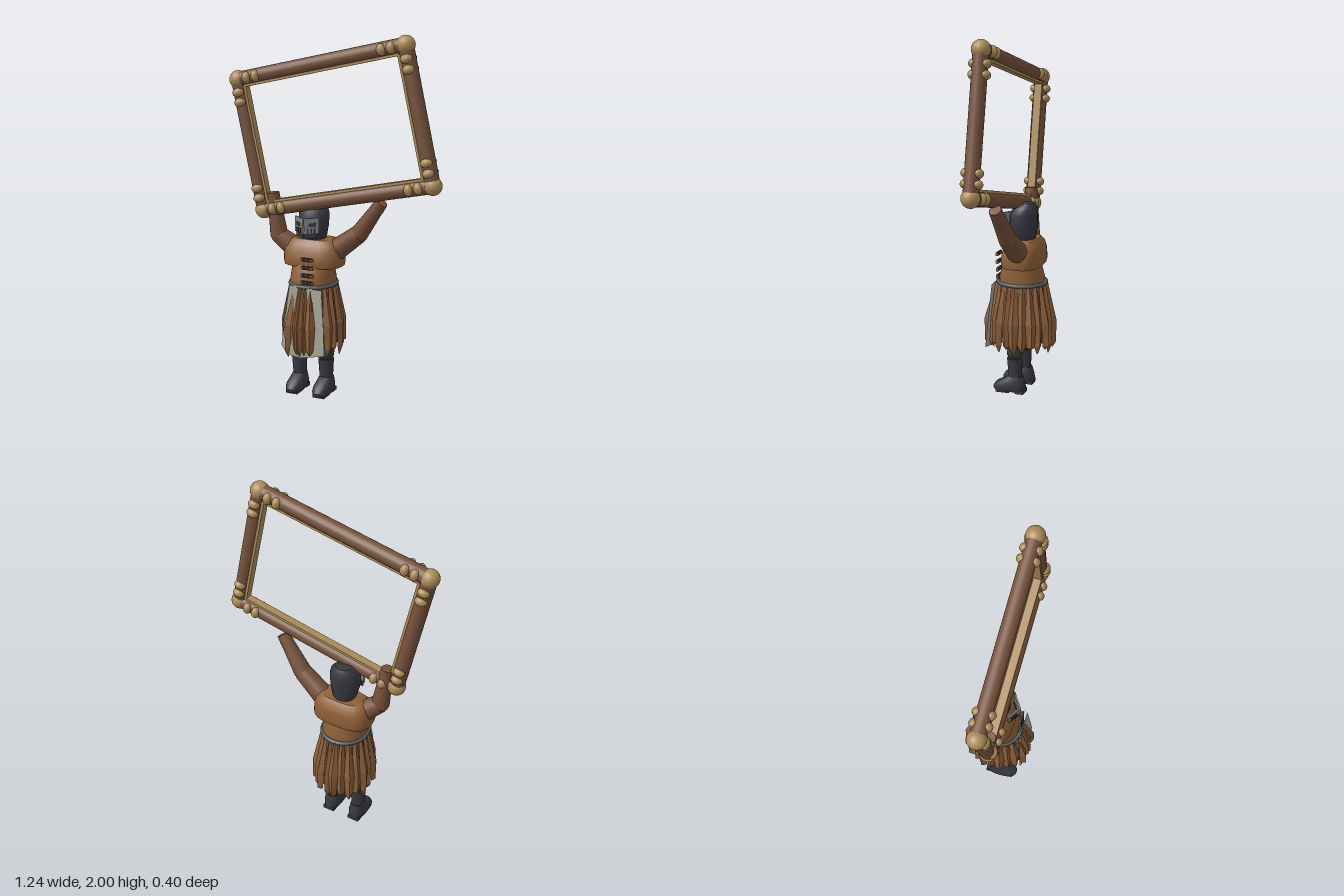
import * as THREE from 'three';
import { toCreasedNormals } from 'three/addons/utils/BufferGeometryUtils.js';

const mat = (name, color, side = THREE.FrontSide) => {
  const m = new THREE.MeshStandardMaterial({ color, side });
  m.name = name;
  return m;
};
const V = (x, y, z) => new THREE.Vector3(x, y, z);

function add(parent, name, geometry, material, x = 0, y = 0, z = 0) {
  const mesh = new THREE.Mesh(geometry, material);
  mesh.name = name;
  mesh.position.set(x, y, z);
  parent.add(mesh);
  return mesh;
}

// Tapered round limb or bar from point a to point b
function rod(parent, name, a, b, ra, rb, material, sides = 16) {
  const d = b.clone().sub(a);
  const mesh = add(parent, name, new THREE.CylinderGeometry(rb, ra, d.length(), sides), material);
  mesh.position.copy(a).addScaledVector(d, 0.5);
  mesh.quaternion.setFromUnitVectors(V(0, 1, 0), d.normalize());
  return mesh;
}

// Closed body from rounded rings: [y, centre z, half width, half depth]
function loft(rings, power = 1, n = 20) {
  const pos = [], idx = [];
  const bend = v => Math.sign(v) * Math.abs(v) ** power;
  for (const [y, cz, hx, hz] of rings)
    for (let j = 0; j < n; j++) {
      const a = j / n * Math.PI * 2;
      pos.push(hx * bend(Math.sin(a)), y, cz + hz * bend(Math.cos(a)));
    }
  const top = (rings.length - 1) * n, c = rings.length * n, last = rings[rings.length - 1];
  pos.push(0, rings[0][0], rings[0][1], 0, last[0], last[1]);
  for (let j = 0; j < n; j++) {
    const k = (j + 1) % n;
    for (let i = 0; i < top; i += n) idx.push(i + j, i + k, i + n + k, i + j, i + n + k, i + n + j);
    idx.push(c, k, j, c + 1, top + j, top + k);
  }
  const g = new THREE.BufferGeometry();
  g.setAttribute('position', new THREE.Float32BufferAttribute(pos, 3));
  g.setIndex(idx);
  return toCreasedNormals(g, 0.7);
}

// Folded skirt strip with a raised centre ridge and a pointed hem
function leaf(angle, width, grow, tip) {
  const rows = [[0.64, 0.122, 0.55, 0.01], [0.42, 0.15, 1, 0.02], [0.29, 0.15, 0.75, 0.02], [tip, 0.147, 0.15, 0.004]];
  const pos = [], idx = [];
  rows.forEach(([y, r, w, ridge], i) => {
    for (const s of [-1, 0, 1]) {
      const a = angle + s * w * width, rad = r + (i ? grow : 0) + (s ? 0 : ridge);
      pos.push(Math.sin(a) * rad, y, Math.cos(a) * rad * 1.1);
    }
    if (i < 3) for (const j of [0, 1]) {
      const p = i * 3 + j;
      idx.push(p, p + 3, p + 1, p + 1, p + 3, p + 4);
    }
  });
  const g = new THREE.BufferGeometry();
  g.setAttribute('position', new THREE.Float32BufferAttribute(pos, 3));
  g.setIndex(idx);
  return toCreasedNormals(g, 0.1);
}

export function createModel() {
  const wood = mat('brown wood', 0x76523c);
  const cord = mat('tan cord', 0xad8c5a);
  const leather = mat('tan leather', 0x8f6038);
  const strip = mat('skirt leather', 0x8c5f3b, THREE.DoubleSide);
  const sleeve = mat('sleeve brown', 0x76503a);
  const dark = mat('dark cloth', 0x383840);
  const steel = mat('mask grey', 0x7d8688);
  const cloth = mat('pale cloth', 0xa3a395, THREE.DoubleSide);
  const beltGrey = mat('belt grey', 0x555d62);
  const gold = mat('gold', 0xa8813a);

  const model = new THREE.Group();
  model.name = 'frameBearer';

  // Tilted rectangular frame
  const frame = new THREE.Group();
  frame.name = 'frame';
  model.add(frame);
  const corners = [[-0.57, 1.74], [0.41, 1.95], [0.57, 1.235], [-0.42, 1.025]].map(p => V(p[0], p[1], 0.033));
  const centre = V(0, 1.4875, 0.033);
  corners.forEach((a, i) => {
    const b = corners[(i + 1) % 4];
    const dir = b.clone().sub(a), length = dir.length(), mid = a.clone().add(b).multiplyScalar(0.5);
    dir.normalize();
    const angle = Math.atan2(dir.y, dir.x);
    rod(frame, 'frameBar', a, b, 0.041, 0.041, wood, 20);
    add(frame, 'cornerKnob', new THREE.SphereGeometry(0.05, 20, 14), cord, a.x, a.y, a.z);

    // Pale lining on the inner side of the bar
    const inward = V(-dir.y, dir.x, 0);
    if (inward.dot(centre.clone().sub(mid)) < 0) inward.negate();
    mid.addScaledVector(inward, 0.041);
    add(frame, 'innerLining', new THREE.BoxGeometry(length - 0.08, 0.014, 0.045), cord, mid.x, mid.y, mid.z).rotation.z = angle;

    // Cord lashings at both ends, front and back
    for (const d of [0.07, 0.125, length - 0.125, length - 0.07])
      for (const s of [-1, 1]) {
        const p = a.clone().addScaledVector(dir, d);
        const bead = add(frame, 'lashing', new THREE.SphereGeometry(1, 14, 10), cord, p.x, p.y, p.z + s * 0.033);
        bead.scale.set(0.025, 0.033, 0.027);
        bead.rotation.z = angle;
      }
  });

  const figure = new THREE.Group();
  figure.name = 'figure';
  figure.position.x = -0.132;
  model.add(figure);

  // Legs and boots
  for (const s of [-1, 1]) {
    const x = s * 0.083;
    rod(figure, 'thigh', V(x, 0.24, 0.01), V(x, 0.45, 0), 0.045, 0.055, dark);
    rod(figure, 'shin', V(x, 0.08, 0.012), V(x, 0.205, 0.015), 0.037, 0.044, dark);
    add(figure, 'knee', new THREE.SphereGeometry(0.045, 16, 10), dark, x, 0.235, 0.015);
    add(figure, 'boot', loft([[0.012, 0.045, 0.045, 0.092], [0.03, 0.046, 0.05, 0.095],
      [0.055, 0.04, 0.049, 0.085], [0.08, 0.02, 0.042, 0.058], [0.1, 0.01, 0.036, 0.042]], 0.8), dark, x);
    add(figure, 'bootHeel', new THREE.BoxGeometry(0.07, 0.022, 0.05), dark, x, 0.011, -0.02);
    add(figure, 'bootSole', new THREE.BoxGeometry(0.07, 0.016, 0.08), dark, x, 0.008, 0.08);
  }

  // Skirt: lining and two layers of pleated strips
  const skirt = new THREE.Group();
  skirt.name = 'skirt';
  figure.add(skirt);
  const lining = new THREE.CylinderGeometry(0.115, 0.145, 0.34, 20, 1, true);
  add(skirt, 'skirtLining', lining, strip, 0, 0.47, 0).scale.z = 1.1;
  for (let i = 0; i < 22; i++) {
    const a = (i + 0.5) / 22 * Math.PI * 2;
    add(skirt, 'skirtStrip', leaf(a, 0.18, (i % 2) * 0.009, 0.235 + (i * 7 % 5) * 0.011), strip);
  }
  [-0.44, -0.02, 0.36].forEach((a, i) =>
    add(skirt, 'frontStrip', leaf(a, 0.15, i === 1 ? 0.012 : 0.025, 0.24 + i * 0.012), strip));

  // Flat pale apron behind the front strips
  const apronShape = new THREE.Shape([[-0.08, 0.64], [-0.118, 0.3], [-0.085, 0.25], [0.0, 0.24], [0.145, 0.27],
    [0.135, 0.42], [0.115, 0.63]].map(p => new THREE.Vector2(...p)));
  const apron = new THREE.ShapeGeometry(apronShape);
  const ap = apron.attributes.position;
  for (let i = 0; i < ap.count; i++) ap.setZ(i, 0.14 + (0.64 - ap.getY(i)) * 0.08);
  apron.computeVertexNormals();
  add(skirt, 'apron', apron, cloth);

  // Belt, torso and shoulder vest
  const belt = add(figure, 'belt', new THREE.TorusGeometry(0.128, 0.011, 8, 28), beltGrey, 0, 0.634, 0);
  belt.rotation.x = Math.PI / 2;
  belt.scale.y = 1.06;
  add(figure, 'torso', loft([[0.6, 0, 0.122, 0.128], [0.66, 0, 0.127, 0.126], [0.74, 0, 0.117, 0.105],
    [0.78, -0.01, 0.115, 0.09]], 0.9), leather);
  add(figure, 'vest', loft([[0.735, -0.013, 0.168, 0.108], [0.76, -0.013, 0.172, 0.114], [0.82, -0.015, 0.17, 0.108],
    [0.86, -0.02, 0.155, 0.09], [0.883, -0.02, 0.125, 0.07]], 0.7), leather);

  // Chest clasps
  for (const y of [0.66, 0.7, 0.745, 0.79]) {
    for (const dy of [-0.007, 0.007])
      add(figure, 'clasp', new THREE.BoxGeometry(0.065, 0.006, 0.012), dark, 0.024, y + dy, 0.13);
    for (const s of [-1, 1])
      add(figure, 'claspStud', new THREE.BoxGeometry(0.008, 0.02, 0.012), gold, 0.024 + s * 0.032, y, 0.13);
  }

  // Raised arms holding the lower bar
  const arms = [
    [V(-0.11, 0.81, -0.01), V(-0.205, 0.885, 0.015), V(-0.235, 1.125, 0.025)],
    [V(0.11, 0.81, -0.02), V(0.27, 0.93, -0.01), V(0.41, 1.12, 0.012)],
  ];
  for (const [shoulder, elbow, hand] of arms) {
    rod(figure, 'upperArm', shoulder, elbow, 0.062, 0.05, sleeve);
    add(figure, 'elbow', new THREE.SphereGeometry(0.048, 14, 10), sleeve, elbow.x, elbow.y, elbow.z);
    rod(figure, 'forearm', elbow, hand, 0.05, 0.033, sleeve);
    rod(figure, 'cuff', elbow.clone().lerp(hand, 0.78), hand, 0.038, 0.034, sleeve);
  }

  // Hooded head
  const head = new THREE.Group();
  head.name = 'head';
  figure.add(head);
  add(head, 'hood', loft([[0.86, -0.025, 0.05, 0.045], [0.9, -0.015, 0.07, 0.065], [0.96, -0.008, 0.083, 0.078],
    [1.02, -0.01, 0.087, 0.078], [1.06, -0.02, 0.075, 0.065], [1.085, -0.03, 0.045, 0.04]]), dark);

  // Angular face mask in two mirrored halves
  for (const s of [-1, 1]) {
    const half = new THREE.Group();
    half.name = 'maskHalf';
    half.position.set(s * 0.035, 0.975, 0.1);
    half.rotation.y = s * 0.6;
    head.add(half);
    add(half, 'maskPlate', new THREE.BoxGeometry(0.085, 0.085, 0.009), steel);
    add(half, 'eyeSlot', new THREE.BoxGeometry(0.04, 0.02, 0.004), dark, s * 0.005, 0.005, 0.006);
    for (let i = 0; i < 3; i++)
      add(half, 'breathSlot', new THREE.BoxGeometry(0.007, 0.03, 0.004), dark, s * (i * 0.02 - 0.02), -0.028, 0.006);
    add(half, 'jawGuard', new THREE.BoxGeometry(0.07, 0.03, 0.012), dark, -s * 0.004, -0.055, -0.005);
  }
  add(head, 'noseRidge', new THREE.ConeGeometry(0.009, 0.07, 4), gold, 0, 0.985, 0.128);
  return model;
}
